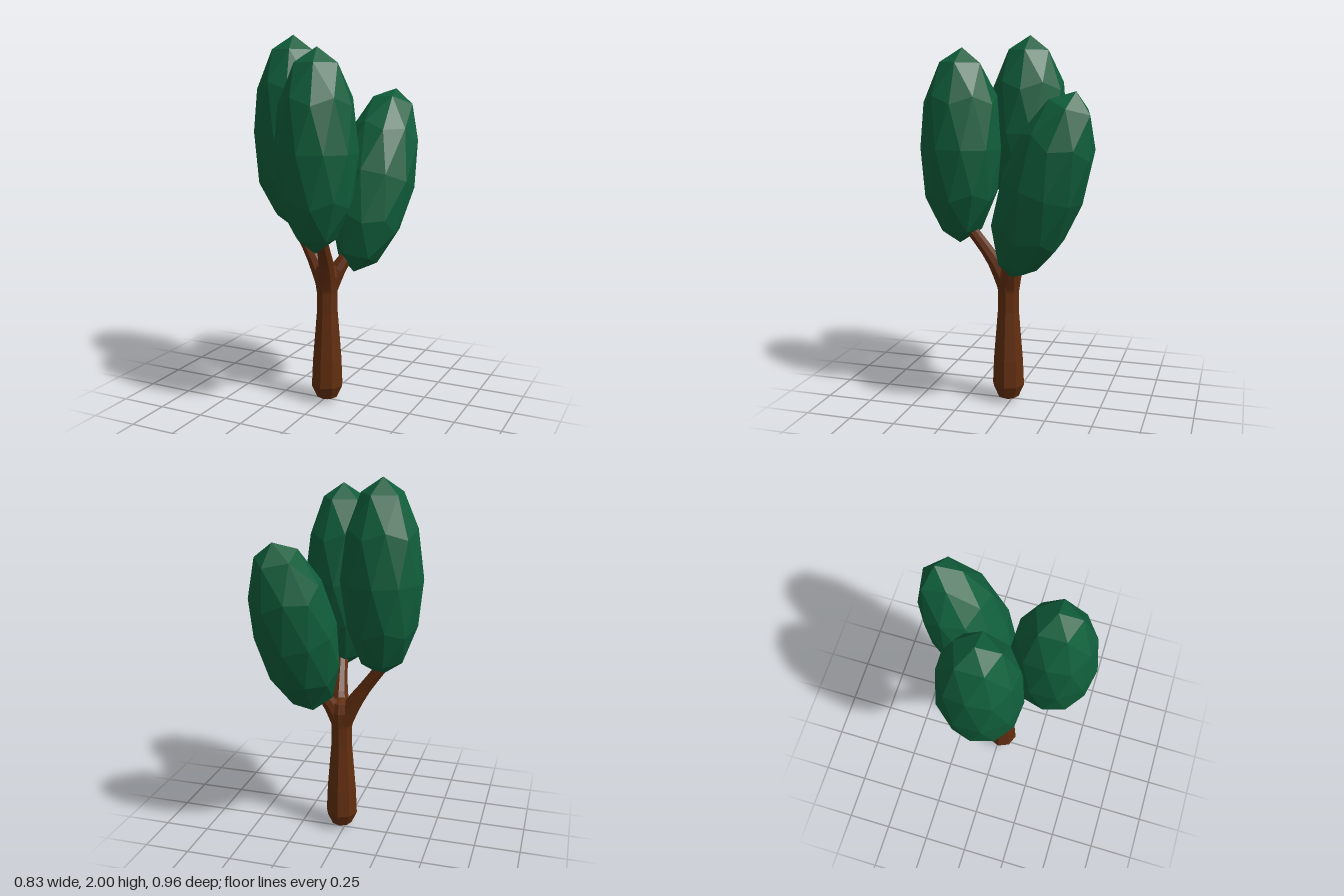
import * as THREE from 'three';

const leaf = new THREE.MeshStandardMaterial({ color: 0x105e3b, flatShading: true });
leaf.name = 'leaf green';
const bark = new THREE.MeshStandardMaterial({ color: 0x622e10, flatShading: true });
bark.name = 'bark brown';

const V = (x, y, z) => new THREE.Vector3(x, y, z);

// Low-poly foliage ellipsoid with a vertex on its long axis
function makeCrown(name, center, radii, tiltX = 0, tiltZ = 0) {
  const geo = new THREE.IcosahedronGeometry(1, 1);
  geo.rotateZ(Math.atan(2 / (1 + Math.sqrt(5))));
  geo.rotateY(Math.PI);
  geo.scale(...radii);
  geo.computeVertexNormals();
  const mesh = new THREE.Mesh(geo, leaf);
  mesh.name = name;
  mesh.position.set(...center);
  mesh.rotation.set(tiltX, 0, tiltZ);
  return mesh;
}

// Tapered branch: a tube whose rings shrink along a smooth path
function makeBranch(name, points, r0, r1) {
  const path = new THREE.CatmullRomCurve3(points);
  const segs = 5, sides = 8;
  const geo = new THREE.TubeGeometry(path, segs, 1, sides);
  const pos = geo.attributes.position;
  const v = V(0, 0, 0);
  for (let i = 0; i <= segs; i++) {
    const c = path.getPointAt(i / segs);
    const r = THREE.MathUtils.lerp(r0, r1, Math.min(1, 1.5 * i / segs));
    for (let j = 0; j <= sides; j++) {
      const k = i * (sides + 1) + j;
      v.fromBufferAttribute(pos, k).sub(c).multiplyScalar(r).add(c);
      pos.setXYZ(k, v.x, v.y, v.z);
    }
  }
  geo.computeVertexNormals();
  const mesh = new THREE.Mesh(geo, bark);
  mesh.name = name;
  return mesh;
}

export function createModel() {
  const tree = new THREE.Group();
  tree.name = 'tree';

  // Trunk: rounded foot, slim waist, flare at the fork
  const profile = [
    [0, 0.005], [0.058, 0.03], [0.09, 0.1], [0.083, 0.25], [0.06, 0.52],
    [0.06, 0.63], [0.074, 0.72], [0.062, 0.775], [0, 0.795],
  ].map(([r, y]) => new THREE.Vector2(r, y));
  const trunk = new THREE.Mesh(new THREE.LatheGeometry(profile, 8), bark);
  trunk.name = 'trunk';
  trunk.position.set(0.02, 0, 0.015);
  tree.add(trunk);

  // Three branches leaving the fork
  tree.add(
    makeBranch('rightBranch', [V(0.015, 0.65, 0.01), V(-0.06, 0.79, -0.005), V(-0.22, 1.02, -0.035)], 0.055, 0.032),
    makeBranch('frontBranch', [V(0.022, 0.65, 0.02), V(0.045, 0.79, 0.08), V(0.075, 1.0, 0.225)], 0.055, 0.034),
    makeBranch('backBranch', [V(0.025, 0.65, 0.012), V(0.08, 0.77, -0.015), V(0.155, 0.9, -0.08)], 0.055, 0.036),
  );

  // One crown per branch
  tree.add(
    makeCrown('rightCrown', [-0.21, 1.483, -0.033], [0.215, 0.518, 0.222], -0.02),
    makeCrown('frontCrown', [0.075, 1.415, 0.26], [0.215, 0.517, 0.222], -0.02),
    makeCrown('backCrown', [0.2, 1.23, -0.216], [0.218, 0.52, 0.22], -0.35, -0.09),
  );
  return tree;
}
